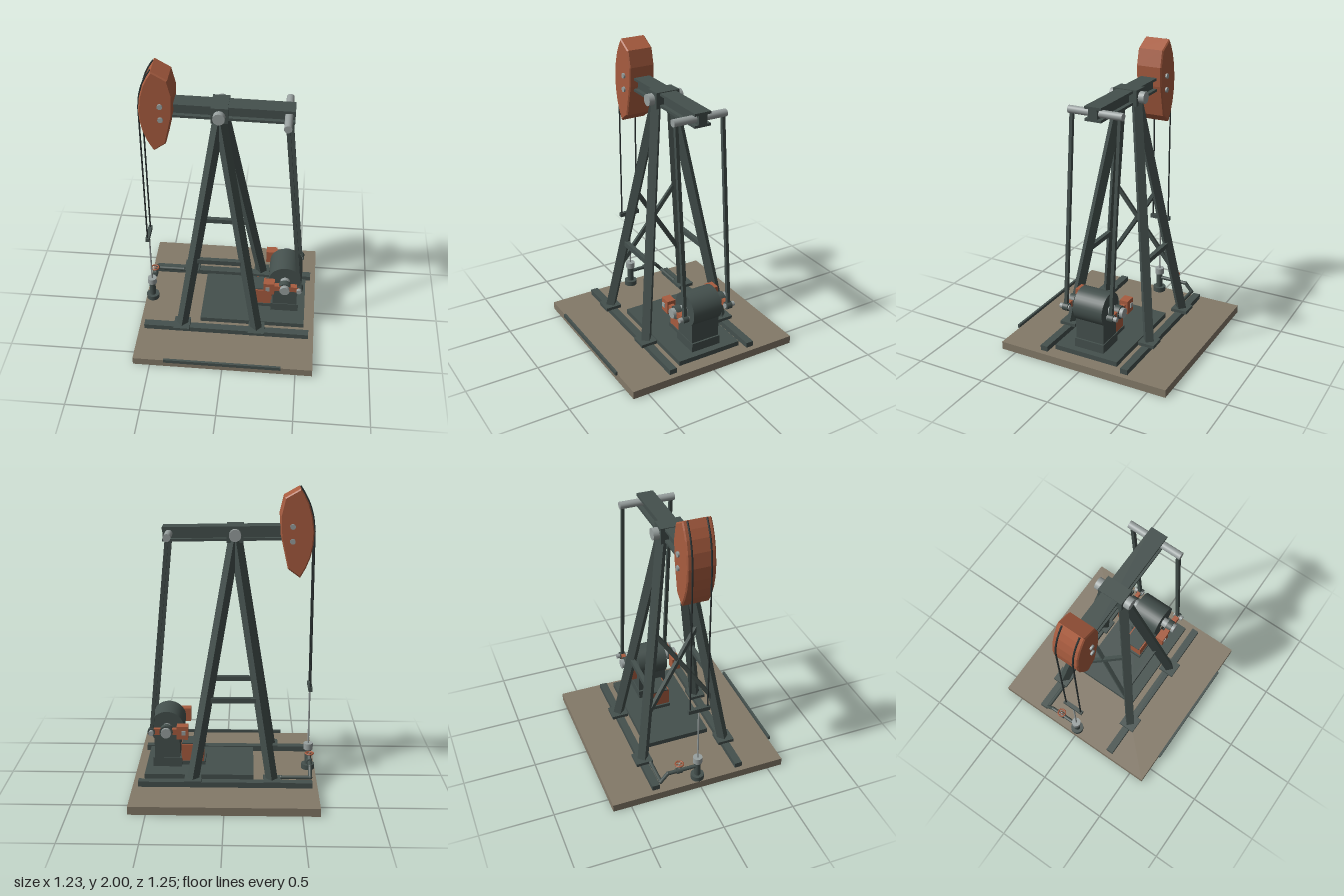
import * as THREE from 'three';

const mat = (name, color) => {
  const m = new THREE.MeshStandardMaterial({ color });
  m.name = name;
  return m;
};

export function createModel() {
  const frame = mat('frameGreen', 0x44504d);
  const orange = mat('rustOrange', 0xa85c3f);
  const steel = mat('steel', 0x98a09f);
  const ground = mat('padTan', 0x837968);
  const cableMat = mat('cableDark', 0x2c3333);

  const model = new THREE.Group();
  model.name = 'pumpjack';
  const V = (x, y, z) => new THREE.Vector3(x, y, z);

  const add = (name, geo, material, parent = model) => {
    const m = new THREE.Mesh(geo, material);
    m.name = name;
    parent.add(m);
    return m;
  };
  // Box given by its limits on each axis
  const box = (name, x0, x1, y0, y1, z0, z1, material, parent) => {
    const m = add(name, new THREE.BoxGeometry(x1 - x0, y1 - y0, z1 - z0), material, parent);
    m.position.set((x0 + x1) / 2, (y0 + y1) / 2, (z0 + z1) / 2);
    return m;
  };
  // Square bar or round rod between two points
  const bar = (name, a, b, w, h, material) => {
    const m = add(name, new THREE.BoxGeometry(w, h, a.distanceTo(b)), material);
    m.position.copy(a).lerp(b, 0.5);
    m.lookAt(b);
    return m;
  };
  const rod = (name, a, b, r, material, sides = 20) => {
    const m = add(name, new THREE.CylinderGeometry(r, r, a.distanceTo(b), sides), material);
    m.position.copy(a).lerp(b, 0.5);
    m.quaternion.setFromUnitVectors(V(0, 1, 0), b.clone().sub(a).normalize());
    return m;
  };

  // Ground pad and edge strip
  box('groundPad', -0.615, 0.615, 0, 0.055, -0.617, 0.617, ground);
  box('edgeStrip', -0.4, 0.4, 0.05, 0.075, 0.617, 0.633, frame);

  // Skid rails, tower feet and legs
  const apexX = -0.06, footY = 0.11, topY = 1.7;
  for (const s of [-1, 1]) {
    box('skidRail', -0.58, 0.578, 0.055, 0.092, s * 0.302 - 0.026, s * 0.302 + 0.026, frame);
    for (const fx of [-0.311, 0.213]) {
      box('foot', fx - 0.056, fx + 0.056, 0.09, 0.113, s * 0.304 - 0.058, s * 0.304 + 0.058, frame);
      bar('towerLeg', V(fx, footY - 0.01, s * 0.3), V(apexX, topY, s * 0.058), 0.056, 0.056, frame);
    }
    bar('sideBrace', V(-0.22, 0.633, s * 0.22), V(0.12, 0.633, s * 0.22), 0.03, 0.034, frame);
    // Crossed braces between the well-side legs
    bar('crossBrace', V(-0.262, 0.42, s * 0.252), V(-0.165, 1.035, -s * 0.158), 0.026, 0.026, frame);
  }

  // Tower saddle and pivot shaft
  box('saddle', -0.114, -0.006, 1.653, 1.76, -0.085, 0.085, frame);
  rod('pivotShaft', V(apexX, 1.705, -0.125), V(apexX, 1.705, 0.125), 0.039, steel, 24);

  // Walking beam: I section, slightly tilted
  const beam = new THREE.Group();
  beam.name = 'walkingBeam';
  beam.position.set(0.02, 1.707, 0);
  beam.rotation.z = -0.014;
  model.add(beam);
  box('topFlange', -0.4, 0.39, 0.03, 0.047, -0.058, 0.058, frame, beam);
  box('bottomFlange', -0.4, 0.39, -0.047, -0.03, -0.058, 0.058, frame, beam);
  box('web', -0.4, 0.39, -0.03, 0.03, -0.03, 0.03, frame, beam);

  // Curved head
  const arc = [[-0.474, 2.0], [-0.503, 1.955], [-0.53, 1.9], [-0.553, 1.82], [-0.565, 1.725],
    [-0.56, 1.64], [-0.543, 1.56], [-0.515, 1.49], [-0.479, 1.427]];
  const back = [[-0.4, 1.485], [-0.352, 1.698], [-0.347, 1.83], [-0.373, 1.942]];
  const headShape = new THREE.Shape([...arc, ...back].map(p => new THREE.Vector2(p[0], p[1])));
  const headGeo = new THREE.ExtrudeGeometry(headShape, {
    depth: 0.168, bevelEnabled: true, bevelThickness: 0.008, bevelSize: 0.008,
    bevelOffset: -0.008, bevelSegments: 1,
  });
  headGeo.translate(0, 0, -0.084);
  add('head', headGeo, orange);
  for (const y of [1.76, 1.665]) {
    rod('headBolt', V(-0.427, y, -0.104), V(-0.427, y, 0.104), 0.018, steel, 12);
  }

  // Cables over the head, carrier bar and polished rod
  const wellX = -0.568;
  for (const s of [-1, 1]) {
    const pts = arc.slice(0, 5).map(p => V(p[0] - 0.003, p[1], s * 0.061));
    add('headCable', new THREE.TubeGeometry(new THREE.CatmullRomCurve3(pts), 16, 0.006, 8), cableMat);
    rod('hangingCable', V(wellX, 1.73, s * 0.061), V(wellX, 0.655, s * 0.061), 0.0055, cableMat, 8);
  }
  box('carrierBar', wellX - 0.013, wellX + 0.013, 0.643, 0.672, -0.075, 0.075, frame);
  rod('polishedRod', V(wellX, 0.2, 0), V(wellX, 0.65, 0), 0.006, steel, 10);

  // Wellhead
  rod('wellFlange', V(wellX, 0.055, 0), V(wellX, 0.09, 0), 0.045, frame, 24);
  rod('wellColumn', V(wellX, 0.09, 0), V(wellX, 0.2, 0), 0.022, frame);
  rod('stuffingBox', V(wellX, 0.198, 0), V(wellX, 0.242, 0), 0.032, steel, 24);

  // Flow line with joints
  const path = [V(wellX, 0.163, 0), V(wellX, 0.163, -0.215), V(wellX, 0.105, -0.265), V(-0.375, 0.105, -0.265)];
  for (let i = 0; i < 3; i++) {
    rod('flowPipe', path[i], path[i + 1], 0.013, frame, 14);
    const joint = add('pipeJoint', new THREE.SphereGeometry(0.014, 14, 10), frame);
    joint.position.copy(path[i + 1]);
  }

  // Valve with handwheel
  const valveZ = -0.132;
  rod('valveBody', V(wellX, 0.163, valveZ - 0.02), V(wellX, 0.163, valveZ + 0.02), 0.02, frame, 14);
  rod('valveStem', V(wellX, 0.163, valveZ), V(wellX, 0.225, valveZ), 0.006, steel, 8);
  const wheel = add('handwheel', new THREE.TorusGeometry(0.027, 0.005, 8, 24), orange);
  wheel.rotation.x = Math.PI / 2;
  wheel.position.set(wellX, 0.222, valveZ);
  rod('wheelSpoke', V(wellX - 0.027, 0.222, valveZ), V(wellX + 0.027, 0.222, valveZ), 0.003, orange, 6);
  rod('wheelSpoke', V(wellX, 0.222, valveZ - 0.027), V(wellX, 0.222, valveZ + 0.027), 0.003, orange, 6);

  // Drive platform
  box('platformSupport', -0.15, 0.5, 0.055, 0.07, -0.045, 0.045, frame);
  box('platform', -0.19, 0.543, 0.07, 0.104, -0.233, 0.233, frame);

  // Gearbox
  const shaftX = 0.397, shaftY = 0.387;
  box('gearboxPedestal', 0.3, 0.496, 0.104, 0.167, -0.108, 0.108, frame);
  box('gearboxBody', 0.313, 0.484, 0.167, 0.39, -0.103, 0.103, frame);
  rod('gearboxDrum', V(shaftX, shaftY, -0.107), V(shaftX, shaftY, 0.107), 0.116, frame, 36);
  box('infoPlate', 0.358, 0.43, 0.309, 0.335, 0.105, 0.112, ground);

  // Motor
  box('motorBase', 0.14, 0.3, 0.104, 0.13, -0.076, 0.076, frame);
  box('motor', 0.152, 0.305, 0.13, 0.25, -0.071, 0.071, orange);
  box('motorTop', 0.145, 0.3, 0.25, 0.258, -0.061, 0.061, frame);

  // Cranks, counterweights and pitman arms
  const pinX = 0.496, tailX = 0.37, tailY = 1.702;
  rod('crankShaft', V(shaftX, shaftY, -0.212), V(shaftX, shaftY, 0.212), 0.034, steel, 24);
  for (const s of [-1, 1]) {
    const z = s * 0.168;
    rod('crankHub', V(shaftX, shaftY, z - 0.02), V(shaftX, shaftY, z + 0.02), 0.045, frame, 24);
    box('crankArm', 0.3, pinX, shaftY - 0.021, shaftY + 0.021, z - 0.014, z + 0.022 * (s > 0 ? 1 : 0.64), orange);
    box('counterweight', 0.25, 0.326, 0.34, 0.432, z - 0.03, z + 0.03, orange);
    box('weightPlate', 0.265, 0.293, 0.372, 0.402, s * 0.2 - 0.004, s * 0.2 + 0.004, steel);
    rod('pitmanBearing', V(pinX, shaftY, z - 0.02), V(pinX, shaftY, z + 0.02), 0.026, frame);
    rod('crankPin', V(pinX, shaftY, s * 0.14), V(pinX, shaftY, s * 0.212), 0.017, steel, 16);
    bar('pitmanArm', V(pinX, shaftY, z), V(tailX, tailY, z), 0.022, 0.024, frame);
  }
  rod('equalizerBar', V(tailX, tailY, -0.19), V(tailX, tailY, 0.19), 0.025, steel, 24);

  // Centre the whole on z
  model.children.forEach(c => { c.position.z -= 0.01; });
  return model;
}
